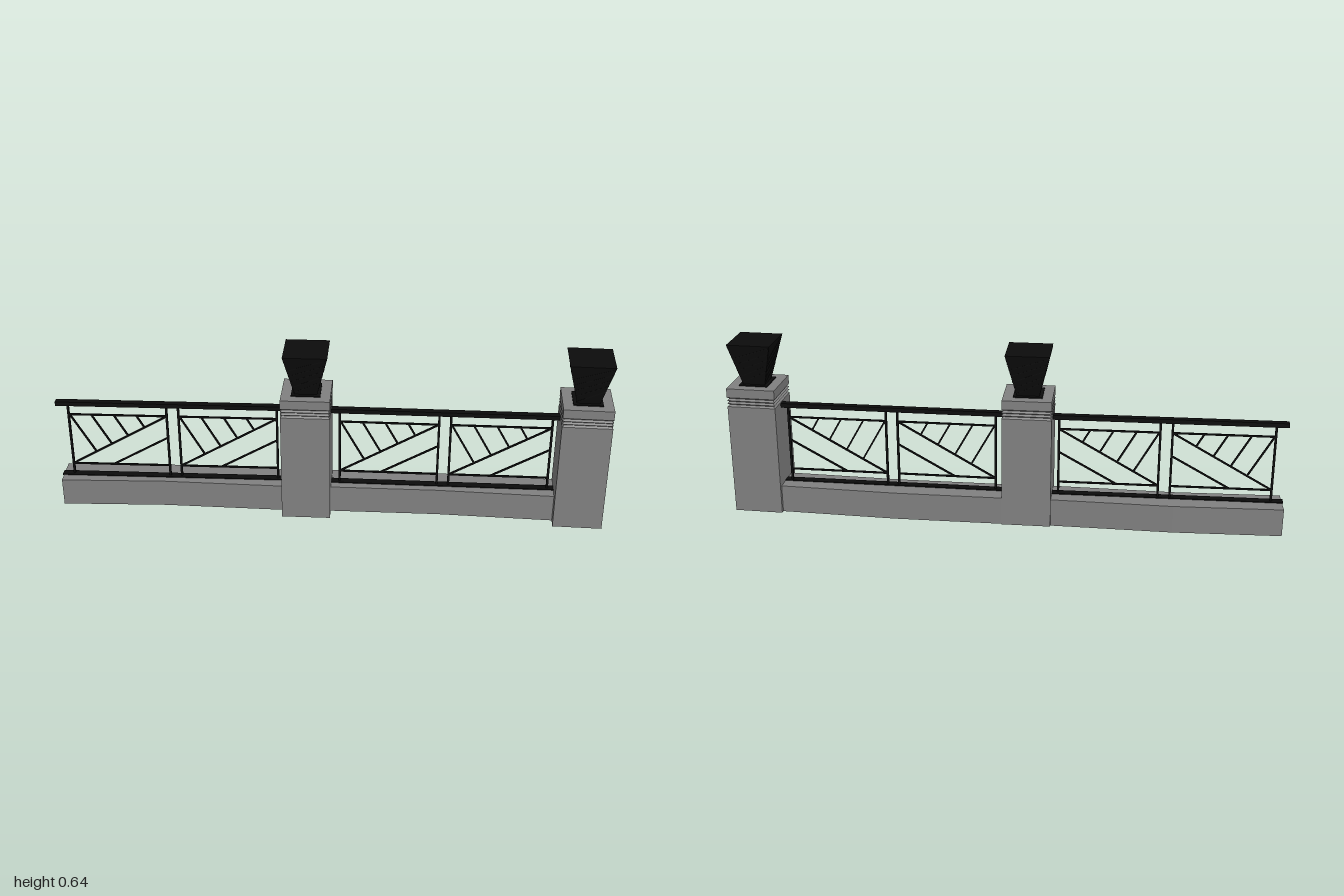
import * as THREE from 'three';

const stone = new THREE.MeshStandardMaterial({ color: 0x808080, flatShading: true });
const iron = new THREE.MeshStandardMaterial({ color: 0x0c0c0c, flatShading: true });
const X_AXIS = new THREE.Vector3(1, 0, 0);
const V = (x, y, z = 0) => new THREE.Vector3(x, y, z);

function add(parent, name, geometry, material) {
  const mesh = new THREE.Mesh(geometry, material);
  mesh.name = name;
  parent.add(mesh);
  return mesh;
}

// straight iron bar between two points
function bar(parent, name, a, b, height, depth) {
  const mesh = add(parent, name, new THREE.BoxGeometry(a.distanceTo(b), height, depth), iron);
  mesh.position.copy(a).lerp(b, 0.5);
  mesh.quaternion.setFromUnitVectors(X_AXIS, b.clone().sub(a).normalize());
  return mesh;
}

// square solid from a profile of [half width, y]
function squareLathe(profile) {
  const points = profile.map(([half, y]) => new THREE.Vector2(half * Math.SQRT2, y));
  return new THREE.LatheGeometry(points, 4, Math.PI / 4);
}

// low wall: footprint offset to both sides of a bent centre line [x, z]
function wall(parent, line) {
  const half = 0.0615, height = 0.103;
  const front = [], back = [];
  line.forEach(([x, z], i) => {
    const p = line[Math.max(i - 1, 0)], q = line[Math.min(i + 1, line.length - 1)];
    const len = Math.hypot(q[0] - p[0], q[1] - p[1]);
    const nx = -(q[1] - p[1]) / len * half, nz = (q[0] - p[0]) / len * half;
    front.push(new THREE.Vector2(x + nx, -(z + nz)));
    back.unshift(new THREE.Vector2(x - nx, -(z - nz)));
  });
  const geometry = new THREE.ExtrudeGeometry(new THREE.Shape([...front, ...back]), { depth: height, bevelEnabled: false });
  geometry.rotateX(-Math.PI / 2);
  add(parent, 'lowWall', geometry, stone);
}

// pillar with grooved neck, cap plate and tapered lamp
function pillar(parent, x, z, angle) {
  const g = new THREE.Group();
  g.name = 'pillar';
  g.position.set(x, 0, z);
  g.rotation.y = -angle;
  const w = 0.0885, profile = [[0, 0], [w, 0], [w, 0.412]];
  for (let i = 0; i < 3; i++) {
    const y = 0.412 + i * 0.0115;
    profile.push([w - 0.007, y + 0.006], [w, y + 0.0115]);
  }
  profile.push([w, 0.48], [0, 0.48]);
  add(g, 'pillarBody', squareLathe(profile), stone);
  add(g, 'lampPlate', new THREE.BoxGeometry(0.105, 0.006, 0.105), iron).position.y = 0.481;

  const y0 = 0.483, y1 = 0.642, h0 = 0.04, h1 = 0.079;
  add(g, 'lamp', squareLathe([[0, y0], [h0, y0], [h1, y1], [0, y1]]), iron);
  // thin diagonal strips on the four lamp faces
  const onFace = (u, v) => {
    const h = h0 + (h1 - h0) * v;
    return V(u * h, y0 + (y1 - y0) * v, h);
  };
  for (let k = 0; k < 4; k++) {
    const face = new THREE.Group();
    face.name = 'lampFace';
    face.rotation.y = k * Math.PI / 2;
    for (let v = 0.05; v < 0.7; v += 0.15) bar(face, 'lampStrip', onFace(-0.96, v), onFace(0.96, v + 0.3), 0.003, 0.002);
    g.add(face);
  }
  parent.add(g);
}

// railing from xStart to xEnd, posts given as world x
function railing(parent, xStart, xEnd, zStart, slope, posts) {
  const g = new THREE.Group();
  g.name = 'railing';
  g.position.set(xStart, 0, zStart);
  const angle = Math.atan(slope);
  g.rotation.y = -angle;
  const local = x => (x - xStart) / Math.cos(angle);
  const length = local(xEnd);
  bar(g, 'handrail', V(0, 0.4005), V(length, 0.4005), 0.016, 0.025);
  bar(g, 'basePlate', V(0, 0.104), V(length, 0.104), 0.004, 0.03);
  for (const x of posts) {
    add(g, 'post', new THREE.BoxGeometry(0.008, 0.294, 0.008), iron).position.set(local(x), 0.248, 0);
  }
  const low = 0.147, high = 0.353, t = 0.006;
  for (let i = 0; i < posts.length; i += 2) {
    const a = local(posts[i]), b = local(posts[i + 1]);
    const at = (u, v) => V(a + (b - a) * u, low + (high - low) * v);
    const lattice = (u0, v0, u1, v1) => bar(g, 'latticeBar', at(u0, v0), at(u1, v1), t, t);
    bar(g, 'lowerRail', at(0, 0), at(1, 0), t, t);
    bar(g, 'upperRail', at(0, 1), at(1, 1), t, t);
    lattice(0, 0, 1, 1);
    lattice(0.42, 0, 1, 0.57);
    // bars square to the main diagonal
    for (const u of [0.01, 0.23, 0.46, 0.69]) {
      const foot = 0.243 + 0.757 * u;
      lattice(u, 1, foot, foot);
    }
  }
  parent.add(g);
}

export function createModel() {
  const model = new THREE.Group();
  model.name = 'fence';
  wall(model, [[-0.993, -0.148], [-0.607, -0.114], [-0.16, -0.05], [-0.085, -0.039]]);
  wall(model, [[-0.085, -0.046], [0.004, -0.035], [0.394, 0.013], [0.811, 0.082], [0.89, 0.096]]);
  pillar(model, -0.087, -0.023, 0.122);
  pillar(model, 0.898, 0.109, 0.156);
  railing(model, -0.998, -0.1, -0.14, 0.112, [-0.955, -0.596, -0.553, -0.195]);
  railing(model, -0.07, 0.88, -0.03, 0.131, [0.032, 0.388, 0.43, 0.789]);
  return model;
}
